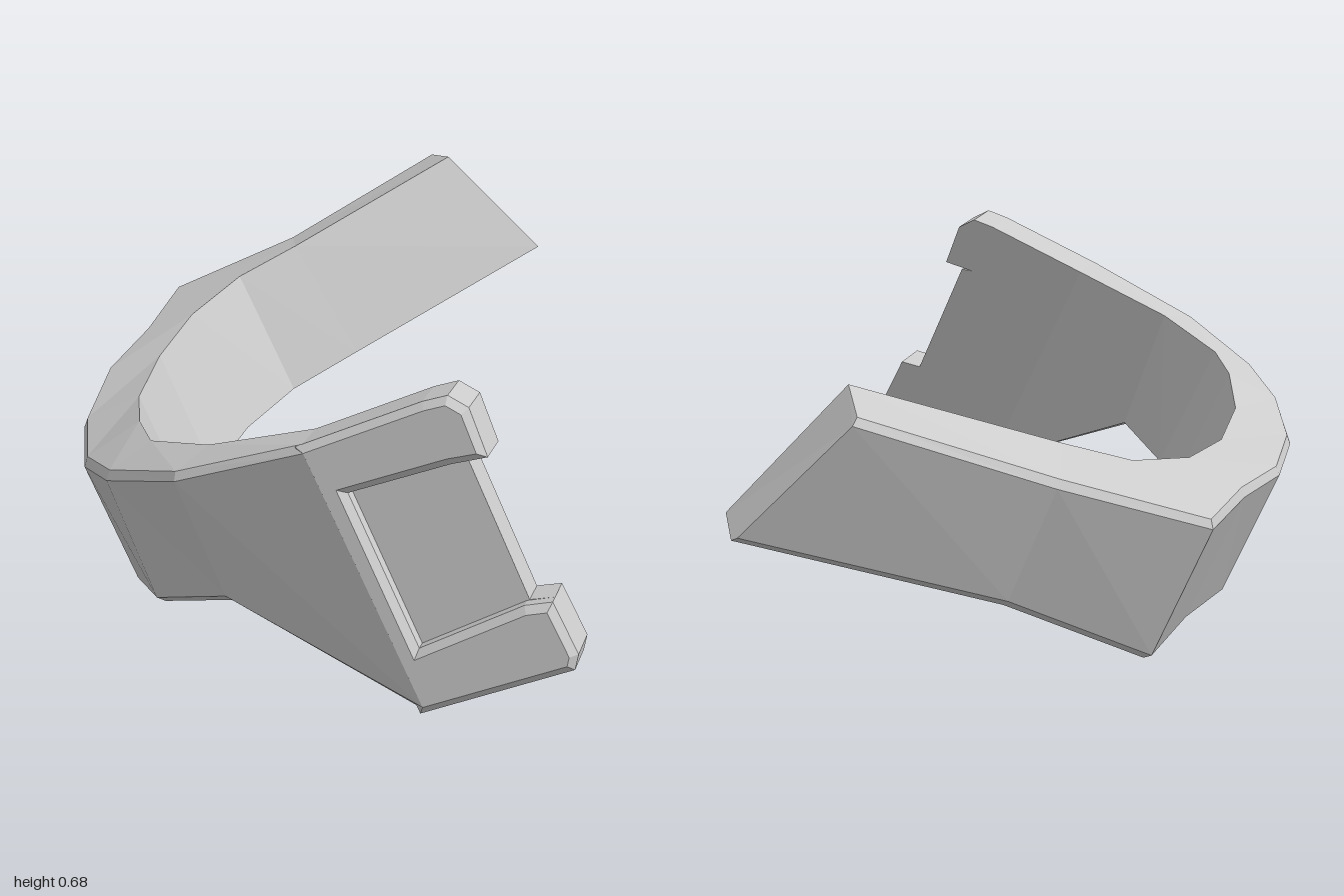
import * as THREE from 'three';

const material = new THREE.MeshStandardMaterial({ color: 0xcccccc, flatShading: true, side: THREE.DoubleSide });

// Plate frame: origin at its top outer corner, U along the band, V up the width, N outward
const origin = new THREE.Vector3(-0.11, 0.57, 0.808);
const N = new THREE.Vector3(-0.292, 0.134, 0.943).normalize();
const V = new THREE.Vector3(-0.373, 0.896, -0.243).normalize();
const U = new THREE.Vector3().crossVectors(V, N).normalize();
V.crossVectors(N, U);
const onPlate = (u, v, n) => origin.clone().addScaledVector(U, u).addScaledVector(V, v).addScaledVector(N, n);
const BACK = -0.115, FLOOR = -0.04, BEVEL = 0.014;

// Band cross-sections: outer top, inner top, inner bottom, outer bottom
const sections = [
  [[0.28, 0.50, -1.0], [0.31, 0.54, -0.86], [0.53, 0.31, -0.86], [0.50, 0.285, -1.0]],
  [[-0.06, 0.36, -0.825], [-0.06, 0.40, -0.655], [0.08, 0.145, -0.625], [0.04, 0.12, -0.78]],
  [[-0.34, 0.27, -0.74], [-0.19, 0.355, -0.585], [-0.07, 0.09, -0.545], [-0.22, 0.0, -0.70]],
  [[-0.41, 0.275, -0.47], [-0.30, 0.33, -0.42], [-0.18, 0.065, -0.39], [-0.29, 0.005, -0.43]],
  [[-0.49, 0.275, -0.25], [-0.37, 0.325, -0.20], [-0.26, 0.06, -0.17], [-0.37, 0.005, -0.20]],
  [[-0.53, 0.285, 0.04], [-0.41, 0.345, 0.06], [-0.30, 0.08, 0.08], [-0.42, 0.03, 0.08]],
  [[-0.52, 0.32, 0.31], [-0.405, 0.385, 0.27], [-0.29, 0.12, 0.33], [-0.41, 0.07, 0.36]],
  [[-0.47, 0.37, 0.48], [-0.38, 0.41, 0.42], [-0.26, 0.15, 0.48], [-0.37, 0.125, 0.55]],
  [[-0.34, 0.455, 0.67], [-0.27, 0.47, 0.575], [-0.18, 0.21, 0.64], [-0.24, 0.21, 0.71]],
].map((s) => s.map((p) => new THREE.Vector3(...p)));
sections.push([onPlate(0, 0, 0), onPlate(0, 0, BACK), onPlate(0.02, -0.536, BACK), onPlate(0.02, -0.536, 0)]);

// Cut a small chamfer along both outer edges
function chamfer([ot, it, ib, ob]) {
  const toward = (a, b, d) => a.clone().addScaledVector(b.clone().sub(a).normalize(), d);
  return [toward(ot, ob, 0.014), toward(ot, it, 0.014), it, ib, toward(ob, ib, 0.014), toward(ob, ot, 0.014)];
}

function loft(rings) {
  const k = rings[0].length, index = [];
  for (let i = 0; i < rings.length - 1; i++) {
    for (let j = 0; j < k; j++) {
      const a = i * k + j, b = i * k + (j + 1) % k;
      index.push(a, a + k, b, b, a + k, b + k);
    }
  }
  const last = (rings.length - 1) * k;
  for (let j = 1; j < k - 1; j++) index.push(0, j, j + 1, last, last + j + 1, last + j);
  const geometry = new THREE.BufferGeometry().setFromPoints(rings.flat());
  geometry.setIndex(index);
  const flat = geometry.toNonIndexed();
  flat.computeVertexNormals();
  return flat;
}

// Extrude a (u, v) outline between two depths of the plate frame
function plateLayer(points, from, to, bevel) {
  const shape = new THREE.Shape(points.map(([u, v]) => new THREE.Vector2(u, v)));
  const geometry = new THREE.ExtrudeGeometry(shape, {
    depth: to - from - 2 * bevel, bevelEnabled: bevel > 0, bevelSize: bevel,
    bevelThickness: bevel, bevelOffset: -bevel, bevelSegments: 1,
  });
  geometry.translate(0, 0, from + bevel);
  geometry.applyMatrix4(new THREE.Matrix4().makeBasis(U, V, N).setPosition(origin));
  return geometry;
}

export function createModel() {
  const group = new THREE.Group();
  const add = (name, geometry) => {
    const mesh = new THREE.Mesh(geometry, material);
    mesh.name = name;
    group.add(mesh);
  };

  add('curvedBand', loft(sections.map(chamfer)));

  // Outline of the two claws, from top left round to bottom left
  const topClaw = [[0.236, 0], [0.283, -0.005], [0.31, -0.038], [0.307, -0.132], [0.24, -0.122]];
  const bottomClaw = [[0.265, -0.405], [0.315, -0.415], [0.322, -0.52], [0.305, -0.545]];

  // Thin recessed floor with the rear half of the claws
  add('clawPlateBack', plateLayer(
    [[0, 0], ...topClaw, [0.265, -0.13], [0.27, -0.405], ...bottomClaw.slice(1), [0.02, -0.536]],
    BACK, FLOOR, 0));

  // Raised C-shaped frame around the notch
  add('clawFrame', plateLayer(
    [[-BEVEL, 0], ...topClaw, [0.044, -0.11], [0.053, -0.42], ...bottomClaw, [0.02 - BEVEL, -0.536]],
    FLOOR - 0.03, 0, BEVEL));

  return group;
}
